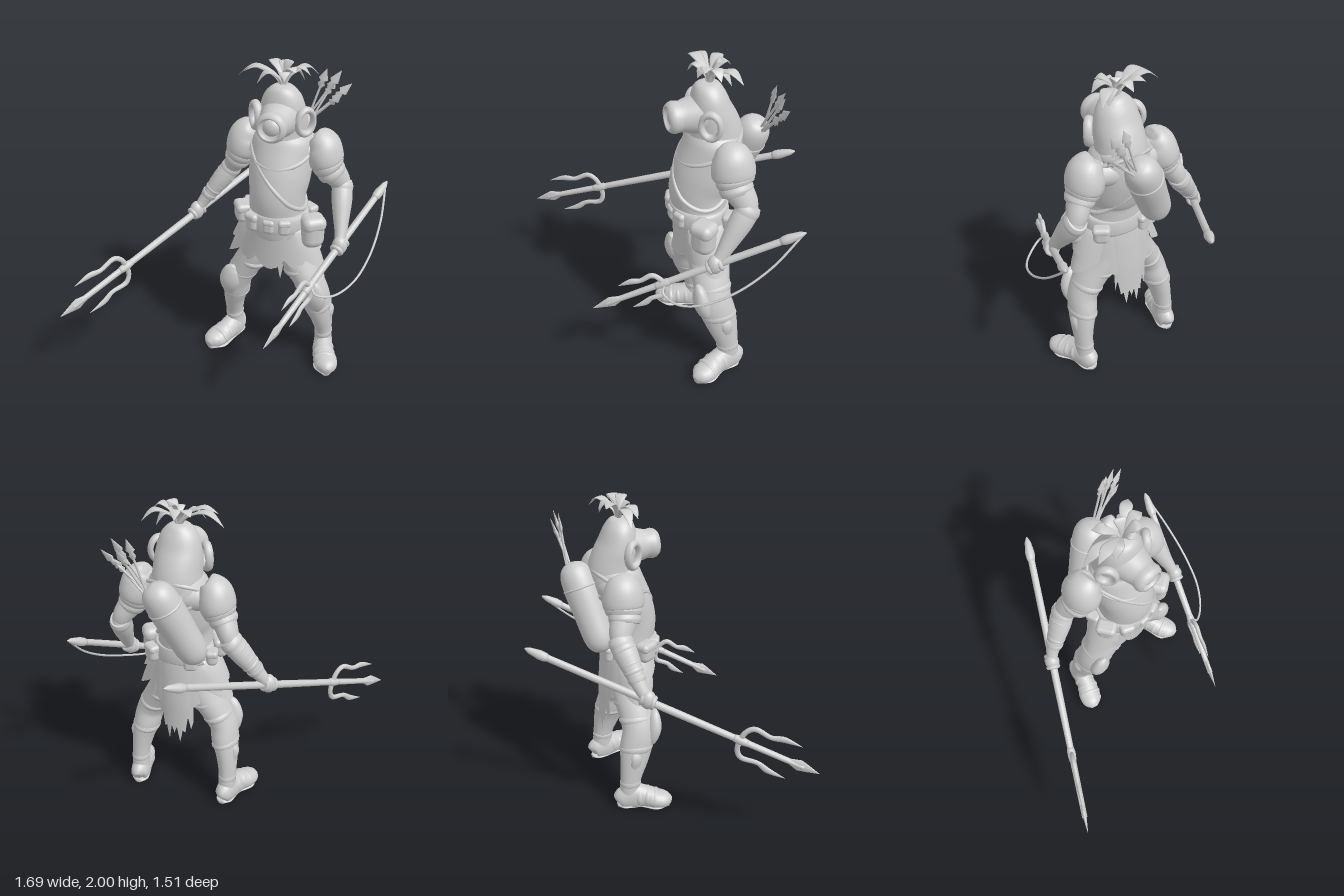
import * as THREE from 'three';
import { RoundedBoxGeometry } from 'three/addons/geometries/RoundedBoxGeometry.js';

const clay = new THREE.MeshStandardMaterial({ color: 0xcccccc, side: THREE.DoubleSide });
clay.name = 'clay grey';
const V = (x, y, z) => new THREE.Vector3(x, y, z);
const X = V(1, 0, 0);

// Skin through cross-sections [x, y, z, width radius, depth radius], splined when steps > 1
function loft(secs, { n = 24, steps = 5, ref = X } = {}) {
  const rows = [];
  const at = i => secs[Math.max(0, Math.min(secs.length - 1, i))];
  for (let i = 0; i < secs.length - 1; i++) {
    for (let k = 0; k < steps; k++) {
      const t = k / steps, p = [at(i - 1), at(i), at(i + 1), at(i + 2)];
      rows.push(at(i).map((_, c) => {
        const [a, b, d, e] = p.map(q => q[c]);
        return b + 0.5 * t * (d - a + t * (2 * a - 5 * b + 4 * d - e + t * (3 * (b - d) + e - a)));
      }));
    }
  }
  rows.push(at(secs.length));
  const pos = [], idx = [];
  rows.forEach((r, i) => {
    const p = rows[Math.max(0, i - 1)], q = rows[Math.min(rows.length - 1, i + 1)];
    const t = V(q[0] - p[0], q[1] - p[1], q[2] - p[2]).normalize();
    const s = ref.clone().addScaledVector(t, -ref.dot(t)).normalize();
    const f = s.clone().cross(t);
    for (let j = 0; j < n; j++) {
      const a = j / n * Math.PI * 2;
      const v = V(r[0], r[1], r[2]).addScaledVector(s, Math.cos(a) * Math.max(r[3], 0.0005))
        .addScaledVector(f, Math.sin(a) * Math.max(r[4], 0.0005));
      pos.push(v.x, v.y, v.z);
      if (i < rows.length - 1) {
        const A = i * n + j, B = i * n + (j + 1) % n;
        idx.push(A, A + n, B, B, A + n, B + n);
      }
    }
  });
  [0, rows.length - 1].forEach((i, e) => {
    const c = pos.length / 3;
    pos.push(rows[i][0], rows[i][1], rows[i][2]);
    for (let j = 0; j < n; j++) {
      const A = i * n + j, B = i * n + (j + 1) % n;
      if (e) idx.push(c, B, A); else idx.push(c, A, B);
    }
  });
  return finish(pos, idx);
}
function finish(pos, idx) {
  const g = new THREE.BufferGeometry();
  g.setAttribute('position', new THREE.Float32BufferAttribute(pos, 3));
  g.setIndex(idx);
  g.computeVertexNormals();
  return g;
}
// Curved skirt panel hanging between two angles (0 = front); bottom(u) gives the hem height
function panel(a0, a1, top, bottom, r0, r1, cols = 32) {
  const pos = [], idx = [], rowsN = 10;
  for (let i = 0; i <= cols; i++) for (let j = 0; j <= rowsN; j++) {
    const u = i / cols, a = a0 + (a1 - a0) * u, y = top + (bottom(u) - top) * j / rowsN;
    const k = Math.min(1, Math.pow((top - y) / 0.28, 0.7));
    pos.push(Math.sin(a) * (r0[0] + (r1[0] - r0[0]) * k), y, -0.07 + Math.cos(a) * (r0[1] + (r1[1] - r0[1]) * k));
    if (i < cols && j < rowsN) {
      const A = i * (rowsN + 1) + j, B = A + rowsN + 1;
      idx.push(A, A + 1, B, B, A + 1, B + 1);
    }
  }
  return finish(pos, idx);
}
const ball = (x, y, z, rx, ry, rz) => new THREE.SphereGeometry(1, 28, 18).scale(rx, ry, rz).translate(x, y, z);
const tube = (pts, r, closed = false) =>
  new THREE.TubeGeometry(new THREE.CatmullRomCurve3(pts, closed), 64, r, 8, closed);

// Torso levels: height, centre z, width radius, depth radius
const torso = [[0.84, -0.09, 0.17, 0.13], [0.92, -0.08, 0.19, 0.15], [1.0, -0.06, 0.18, 0.16], [1.1, -0.06, 0.17, 0.165],
  [1.2, -0.06, 0.17, 0.175], [1.3, -0.09, 0.185, 0.185], [1.42, -0.127, 0.188, 0.178], [1.52, -0.145, 0.18, 0.16], [1.58, -0.15, 0.14, 0.14]];
function onTorso(y, a) {
  const i = Math.max(1, torso.findIndex(s => s[0] >= y)), p = torso[i - 1], q = torso[i];
  const m = p.map((v, c) => v + (q[c] - v) * (y - p[0]) / (q[0] - p[0]));
  return V(Math.sin(a) * m[2], y, m[1] + Math.cos(a) * m[3]);
}
const loop = fn => Array.from({ length: 28 }, (_, i) => fn(i / 28 * Math.PI * 2));

export function createModel() {
  const root = new THREE.Group(), body = new THREE.Group();
  body.name = 'body';
  body.position.x = 0.245;
  root.add(body);
  const add = (name, geo, parent = body) => {
    const m = new THREE.Mesh(geo, clay);
    m.name = name;
    parent.add(m);
    return m;
  };

  // Torso, shoulders, rope collar and chest strap
  add('torso', loft(torso.map(([y, z, rx, rz]) => [0, y, z, rx, rz]), { n: 40 }));
  add('shoulderYoke', ball(0, 1.46, -0.165, 0.27, 0.105, 0.125));
  add('ropeCollar', tube(loop(a => onTorso(1.485 - 0.085 * Math.cos(a), a)), 0.013, true));
  add('chestStrap', tube(loop(a => onTorso(1.31 - 0.18 * Math.sin(a), a)), 0.014, true));

  // Diving helmet with round window and side rings
  add('helmet', loft([[0, 1.866, -0.105, 0, 0], [0, 1.856, -0.105, 0.058, 0.06], [0, 1.8, -0.105, 0.11, 0.093], [0, 1.7, -0.118, 0.138, 0.122],
    [0, 1.6, -0.142, 0.145, 0.147], [0, 1.53, -0.15, 0.152, 0.16], [0, 1.45, -0.145, 0.158, 0.155]], { n: 40 }));
  add('windowTube', new THREE.LatheGeometry([[0.125, -0.07], [0.106, -0.01], [0.095, 0.03], [0.087, 0.055], [0.088, 0.07], [0.092, 0.095], [0.086, 0.115],
    [0.072, 0.132], [0.062, 0.128], [0.057, 0.1], [0, 0.1]].map(p => new THREE.Vector2(...p)), 36).rotateX(Math.PI / 2).translate(0, 1.677, 0));
  add('windowGlass', ball(0, 1.677, 0.095, 0.05, 0.05, 0.032));
  for (const s of [-1, 1]) {
    const ring = add('sideRing', new THREE.TorusGeometry(0.063, 0.018, 12, 32).scale(0.88, 1.15, 1.4));
    ring.position.set(s * 0.15, 1.67, -0.07);
    ring.rotation.y = s * 0.9;
  }

  // Tuft of leaf-like hair: tip and lift of the arch
  [[-0.275, 1.88, -0.12, 0.08], [-0.22, 1.93, -0.06, 0.05], [-0.12, 1.955, -0.22, 0.035], [0.03, 1.975, -0.17, 0.035], [0.09, 1.96, -0.05, 0.035],
    [0.155, 1.93, -0.12, 0.06], [0.1, 1.87, -0.2, 0.075], [0.17, 1.9, -0.24, 0.07], [-0.13, 1.88, -0.03, 0.07], [-0.03, 1.93, -0.24, 0.055],
    [0.03, 1.91, -0.03, 0.05]].forEach(([x, y, z, h]) => {
    const dx = x, dz = z + 0.11, ref = V(-dz, 0, dx).normalize();
    add('hairLeaf', loft([[0, 1.84, -0.11, 0.014, 0.01], [dx * 0.2, 1.84 + (y - 1.84) * 0.55 + h * 0.6, -0.11 + dz * 0.2, 0.017, 0.007],
      [dx * 0.65, 1.84 + (y - 1.84) * 0.85 + h, -0.11 + dz * 0.65, 0.036, 0.005], [x, y, z, 0.001, 0.001]], { n: 10, ref }));
  });

  // Belt, buckle and pouches
  add('belt', loft([[0, 0.99, -0.065, 0.185, 0.16], [0, 1.0, -0.065, 0.2, 0.175], [0, 1.08, -0.06, 0.195, 0.175], [0, 1.1, -0.06, 0.175, 0.165]], { n: 40, steps: 2 }));
  [[0, 1.045, 0.1, 0.07, 0.09, 0.05, 0], [-0.11, 1.045, 0.07, 0.09, 0.12, 0.075, -0.4], [0.09, 1.045, 0.08, 0.075, 0.1, 0.06, 0.4],
    [-0.205, 1.055, -0.01, 0.12, 0.13, 0.09, -1], [0.24, 1.005, -0.01, 0.14, 0.21, 0.13, 0.6], [-0.2, 1.04, -0.13, 0.07, 0.1, 0.09, 0.3],
    [0.17, 1.03, -0.19, 0.1, 0.11, 0.07, -0.6], [-0.1, 1.03, -0.23, 0.08, 0.1, 0.05, 0.3]].forEach(([x, y, z, w, h, d, r]) => {
    const g = new THREE.Group();
    g.name = 'pouch';
    g.position.set(x, y, z);
    g.rotation.y = r;
    add('pouchBag', new RoundedBoxGeometry(w, h, d, 6, Math.min(w, d) * 0.45), g);
    add('pouchFlap', new RoundedBoxGeometry(w * 1.05, h * 0.45, d * 1.06, 6, h * 0.2).translate(0, h * 0.27, 0), g);
    body.add(g);
  });

  // Armoured skirt and torn back cloth
  const dip = (y, d) => u => y - d * Math.sin(Math.PI * u);
  const r0 = [0.185, 0.155];
  for (const s of [-1, 1]) {
    const around = (a, b) => s > 0 ? [a, b] : [-b, -a];
    add('sideTasset', panel(...around(0.8, 2.4), 1.0, dip(0.82, 0.09), r0, [0.315, 0.155]));
    add('upperTasset', panel(...around(0.75, 2.25), 1.02, dip(0.93, 0.07), [0.2, 0.165], [0.325, 0.19]));
    add('frontTasset', panel(...around(0.3, 1.15), 1.0, dip(0.83, 0.09), r0, [0.255, 0.14]));
  }
  add('middleTasset', panel(-0.55, 0.55, 1.0, dip(0.86, 0.13), [0.19, 0.165], [0.25, 0.145]));
  add('backSkirt', panel(2.05, Math.PI * 2 - 2.05, 1.0, dip(0.8, 0.12), [0.19, 0.16], [0.24, 0.18]));
  add('tornCloth', panel(2.55, Math.PI * 2 - 2.55, 1.0,
    u => 0.64 - 0.1 * Math.sin(Math.PI * u) - 0.075 * Math.abs(((u * 6.5) % 1) * 2 - 1) + 0.035 * Math.sin(u * 17), [0.18, 0.165], [0.2, 0.188], 78));

  for (const s of [-1, 1]) {
    // Leg, knee guard, greave bands and plated boot
    const L = (pts, o) => loft(pts.map(([x, ...r]) => [x * s, ...r]), o);
    const band = (name, x, y, z, a, b) =>
      add(name, L([[x - 0.008, y + 0.024, z, a * 0.9, b * 0.91], [x, y, z, a, b], [x + 0.006, y - 0.024, z, a * 0.9, b * 0.91]], { steps: 4 }));
    add('leg', L([[0.09, 0.92, -0.09, 0.09, 0.12], [0.125, 0.77, -0.085, 0.097, 0.128], [0.2, 0.64, -0.078, 0.092, 0.115], [0.255, 0.53, -0.078, 0.087, 0.108],
      [0.275, 0.43, -0.103, 0.084, 0.107], [0.297, 0.33, -0.127, 0.068, 0.092], [0.31, 0.2, -0.155, 0.055, 0.068], [0.31, 0.06, -0.165, 0.058, 0.07]]));
    add('kneeGuard', L([[0.25, 0.665, 0.03, 0.01, 0.01], [0.265, 0.63, 0.02, 0.05, 0.035], [0.28, 0.55, 0.01, 0.07, 0.05],
      [0.29, 0.47, -0.01, 0.05, 0.04], [0.29, 0.41, -0.025, 0.008, 0.01]]));
    band('thighBand', 0.15, 0.7, -0.082, 0.1, 0.128);
    band('thighBand', 0.22, 0.6, -0.08, 0.095, 0.117);
    band('greaveBand', 0.277, 0.42, -0.105, 0.088, 0.111);
    band('ankleBand', 0.31, 0.18, -0.157, 0.058, 0.071);
    add('greaveFin', L([[0.32, 0.43, -0.12, 0.02, 0.03], [0.358, 0.38, -0.13, 0.018, 0.035], [0.345, 0.3, -0.14, 0.018, 0.03], [0.335, 0.24, -0.15, 0.01, 0.02]], { n: 10 }));
    const boot = L([[0.295, 0.05, -0.245, 0.02, 0.03], [0.302, 0.06, -0.225, 0.052, 0.07], [0.315, 0.07, -0.15, 0.062, 0.1], [0.34, 0.067, -0.07, 0.066, 0.075],
      [0.375, 0.055, 0.0, 0.075, 0.06], [0.397, 0.048, 0.055, 0.062, 0.05], [0.407, 0.04, 0.09, 0.02, 0.025]]);
    const bp = boot.attributes.position;
    for (let i = 0; i < bp.count; i++) bp.setY(i, Math.max(0, bp.getY(i)));
    boot.computeVertexNormals();
    add('boot', boot);
    [[0.33, 0.075, -0.1, 0.07, 0.074], [0.348, 0.069, -0.05, 0.073, 0.068], [0.37, 0.062, -0.005, 0.077, 0.061], [0.388, 0.053, 0.035, 0.072, 0.052]].forEach(([x, y, z, a, b]) =>
      add('bootPlate', L([[x - 0.008, y, z - 0.02, a * 0.9, b * 0.88], [x, y, z, a, b], [x + 0.006, y, z + 0.016, a * 0.88, b * 0.85]], { steps: 4 })));
    add('sole', L([[0.3, 0.012, -0.245, 0.02, 0.012], [0.305, 0.012, -0.2, 0.055, 0.012], [0.33, 0.012, -0.09, 0.052, 0.012], [0.375, 0.012, 0.01, 0.072, 0.012], [0.403, 0.012, 0.08, 0.02, 0.012]]));

    // Shoulder armour and arm; each forearm reaches its own weapon
    add('pauldron', L([[0.195, 1.572, -0.16, 0.02, 0.03], [0.205, 1.562, -0.16, 0.062, 0.075], [0.235, 1.51, -0.165, 0.098, 0.11], [0.25, 1.45, -0.168, 0.107, 0.125],
      [0.26, 1.4, -0.17, 0.1, 0.12], [0.265, 1.39, -0.17, 0.07, 0.09]]));
    [[0.27, 1.385, 0.097, 0.112], [0.292, 1.34, 0.085, 0.098]].forEach(([x, y, a, b]) =>
      add('shoulderPlate', L([[x - 0.015, y + 0.04, -0.17, a * 0.88, b * 0.92], [x, y, -0.174, a, b], [x + 0.012, y - 0.025, -0.178, a * 0.9, b * 0.92]])));
    const [wx, wy, wz, hx, hy, hz] = s < 0 ? [0.525, 0.99, -0.155, 0.56, 0.925, -0.125] : [0.402, 0.99, -0.06, 0.41, 0.93, -0.018];
    const ex = 0.355, ey = 1.235, ez = -0.225;
    add('upperArm', L([[0.22, 1.47, -0.165, 0.08, 0.09], [0.29, 1.35, -0.18, 0.075, 0.085], [0.34, 1.265, -0.215, 0.06, 0.07], [ex + 0.01, ey - 0.04, ez + 0.01, 0.05, 0.05]]));
    const mix = (t, a, b) => [ex + (wx - ex) * t, ey + (wy - ey) * t, ez + (wz - ez) * t, a, b];
    add('forearm', L([mix(-0.15, 0.03, 0.035), mix(0, 0.058, 0.068), mix(0.3, 0.062, 0.072), mix(0.65, 0.05, 0.058), mix(1, 0.036, 0.042), [hx, hy, hz, 0.03, 0.035]]));
    add('bracerCuff', L([mix(-0.08, 0.056, 0.064), mix(0.03, 0.065, 0.076), mix(0.15, 0.06, 0.07)]));
    if (s < 0) for (let i = 1; i < 6; i++)
      add('bracerRidge', L([mix(i * 0.15, 0.052, 0.056), mix(i * 0.15 + 0.05, 0.07 - i * 0.004, 0.077 - i * 0.004), mix(i * 0.15 + 0.11, 0.046, 0.05)]));
    add('hand', ball(s * hx, hy + 0.005, hz, 0.045, 0.06, 0.048));
    const dir = (s < 0 ? V(-0.905, -0.645, 1.49) : V(-0.41, -0.59, 1.11)).normalize();
    for (let i = 0; i < 4; i++) {
      const f = add('finger', new THREE.TorusGeometry(0.031, 0.014, 8, 18));
      f.position.set(s * hx, hy, hz).addScaledVector(dir, (i - 1.5) * 0.023);
      f.quaternion.setFromUnitVectors(V(0, 0, 1), dir);
    }
  }

  // Quiver tank with a rim band, and its arrows
  const q = (t, r) => [-0.175 + 0.225 * t, 1.085 + 0.515 * t, -0.27 - 0.125 * t, r, r];
  add('quiver', loft([q(0, 0.005), q(0.03, 0.055), q(0.14, 0.09), q(0.4, 0.098), q(0.7, 0.104), q(0.88, 0.094), q(0.97, 0.06), q(1, 0.01)], { n: 32 }));
  add('quiverBand', loft([q(0.69, 0.09), q(0.72, 0.109), q(0.75, 0.09)], { n: 32 }));
  [[0.255, 1.865, -0.44], [0.17, 1.87, -0.43], [0.32, 1.79, -0.445], [0.27, 1.73, -0.41], [0.22, 1.81, -0.46]].forEach(([x, y, z], i) => {
    const a = V(0.06 + i * 0.008, 1.54, -0.39 - (i % 2) * 0.02), b = V(x, y, z);
    const p = (t, r, w = r) => [...a.clone().lerp(b, t).toArray(), r, w];
    add('arrowShaft', loft([p(0, 0.007), p(0.8, 0.007)], { n: 8, steps: 1 }));
    add('arrowHead', loft([p(0.62, 0.004), p(0.7, 0.024, 0.008), p(0.76, 0.012), p(0.8, 0.03, 0.008), p(1, 0.001)], { n: 8, steps: 1 }));
  });

  // Forked weapons: shaft, butt cap, blade and two curved side prongs
  function weapon(name, a, b, r, fork, size) {
    const g = new THREE.Group();
    g.name = name;
    root.add(g);
    const len = a.distanceTo(b), d = b.clone().sub(a).normalize();
    const u = V(0, 1, 0).addScaledVector(d, -d.y).normalize();
    const side = u.clone().cross(d);
    const p = (l, w, h = w, off = 0) => [...a.clone().addScaledVector(d, l).addScaledVector(u, off).toArray(), w, h];
    const o = { n: 12, steps: 1, ref: side };
    add('shaft', loft([p(0.1, r), p(len * 0.5, r * 1.1), p(len - 0.1, r * 0.8)], o), g);
    add('buttCap', loft([p(0, 0.004), p(0.03, r * 0.9), p(0.1, r * 1.4), p(0.13, r * 1.3), p(0.15, r)], o), g);
    add('blade', loft([p(len - 0.2, r * 0.7), p(len - 0.13, r * 0.7, r * 1.9), p(len - 0.09, r * 0.5, r * 1.4), p(len, 0.001)], { ...o, n: 8 }), g);
    add('forkCollar', loft([p(fork - 0.04, r), p(fork, r * 1.25), p(fork + 0.05, r)], { ...o, steps: 4 }), g);
    for (const s of [-1, 1])
      add('sideProng', loft([p(fork, 0.014, 0.018, 0), p(fork + 0.01, 0.014, 0.016, s * size * 0.6), p(fork + size * 0.5, 0.014, 0.017, s * size),
        p(fork + size * 1.4, 0.012, 0.015, s * size * 0.9), p(fork + size * 2.1, 0.011, 0.019, s * size * 1.1), p(fork + size * 3.1, 0.001, 0.001, s * size * 1.12)],
      { n: 10, ref: side }), g);
    return g;
  }
  weapon('trident', V(0.07, 1.19, -0.755), V(-0.845, 0.545, 0.75), 0.021, 1.37, 0.11);
  const spear = weapon('spearBow', V(0.825, 1.175, -0.475), V(0.405, 0.575, 0.645), 0.02, 0.87, 0.08);
  add('bowString', tube([V(0.82, 1.16, -0.46), V(0.84, 0.99, -0.28), V(0.825, 0.85, -0.08), V(0.77, 0.76, 0.1),
    V(0.68, 0.725, 0.22), V(0.59, 0.75, 0.27), V(0.56, 0.8, 0.235)], 0.007), spear);
  return root;
}
